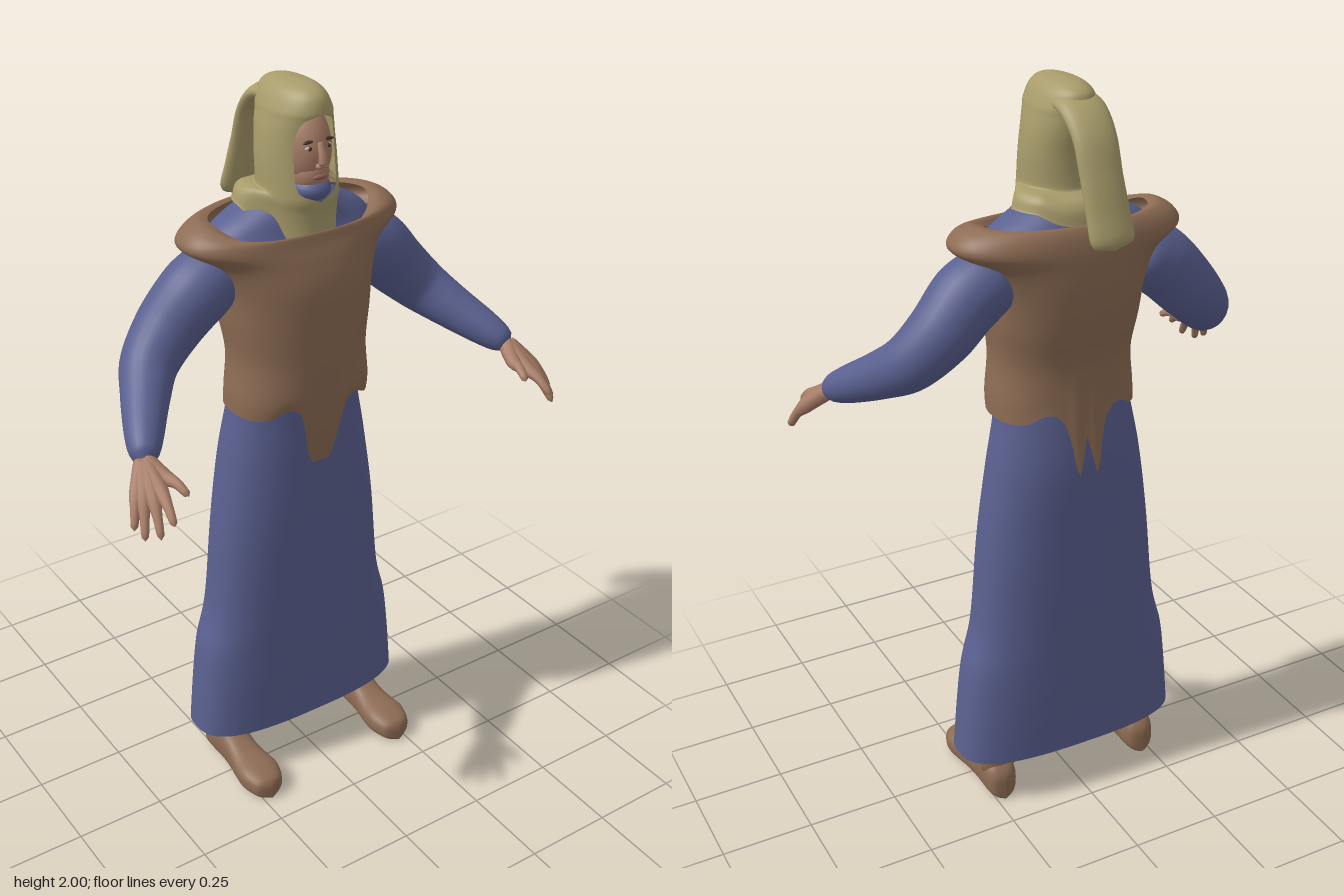
import * as THREE from 'three';

const mat = (name, color, side = THREE.FrontSide) => {
  const m = new THREE.MeshStandardMaterial({ color, side });
  m.name = name;
  return m;
};
const BLUE = mat('blue cloth', 0x5a6090, THREE.DoubleSide);
const BROWN = mat('brown leather', 0x8d6c54, THREE.DoubleSide);
const TAN = mat('tan hood cloth', 0xa89c6b, THREE.DoubleSide);
const SKIN = mat('skin', 0xa87d67);
const DARK = mat('dark brown', 0x40302a);
const WHITE = mat('eye white', 0xb5a99c);
const LIP = mat('lips', 0x8e5f52);

// Smooth grid of points; u wraps round when closed.
function surface(fn, nu, nv, closed = true) {
  const cols = closed ? nu : nu + 1, pos = [], idx = [];
  for (let j = 0; j <= nv; j++)
    for (let i = 0; i < cols; i++) pos.push(...fn(i / nu, j / nv));
  for (let j = 0; j < nv; j++)
    for (let i = 0; i < nu; i++) {
      const k = (i + 1) % cols, a = j * cols + i, b = j * cols + k;
      idx.push(a, b, b + cols, a, b + cols, a + cols);
    }
  const g = new THREE.BufferGeometry();
  g.setAttribute('position', new THREE.Float32BufferAttribute(pos, 3));
  g.setIndex(idx);
  g.computeVertexNormals();
  return g;
}

// Spline through the rows of a profile table.
function sample(rows, t) {
  const n = rows.length - 1, i = Math.min(Math.floor(t * n), n - 1), f = t * n - i;
  const row = k => rows[Math.max(0, Math.min(n, k))];
  return rows[0].map((_, c) => {
    const a = row(i - 1)[c], b = row(i)[c], d = row(i + 1)[c], e = row(i + 2)[c];
    return b + 0.5 * f * (d - a + f * (2 * a - 5 * b + 4 * d - e + f * (3 * (b - d) + e - a)));
  });
}
const spow = (v, e) => Math.sign(v) * Math.abs(v) ** e;
const smooth = THREE.MathUtils.smoothstep;

// Horizontal section point; angle 0 is the front.
function ringPoint(a, y, hw, zf, zb, e) {
  return [hw * spow(Math.sin(a), e), y, (zf + zb) / 2 + (zf - zb) / 2 * spow(Math.cos(a), e)];
}

// Tapered round-ended limb through [x, y, z, radius]; k flattens it.
function limb(pts, k = 1, nu = 16, nv = 28) {
  const curve = new THREE.CatmullRomCurve3(pts.map(p => new THREE.Vector3(p[0], p[1], p[2])));
  const { normals, binormals } = curve.computeFrenetFrames(nv);
  return surface((u, v) => {
    const j = Math.round(v * nv), a = u * Math.PI * 2;
    const s = curve.getUtoTmapping(v) * (pts.length - 1);
    const i = Math.min(Math.floor(s), pts.length - 2);
    const r = THREE.MathUtils.lerp(pts[i][3], pts[i + 1][3], s - i) *
      Math.sqrt(Math.max(0, 1 - Math.abs(2 * v - 1) ** 18));
    return curve.getPointAt(v).addScaledVector(normals[j], r * Math.cos(a))
      .addScaledVector(binormals[j], r * k * Math.sin(a)).toArray();
  }, nu, nv);
}

export function createModel() {
  const root = new THREE.Group();
  root.name = 'robedMan';
  const add = (name, geo, material, parent = root) => {
    const m = new THREE.Mesh(geo, material);
    m.name = name;
    parent.add(m);
    return m;
  };
  const ball = (name, x, y, z, rx, ry, rz, material, parent = root) => {
    const m = add(name, new THREE.SphereGeometry(1, 24, 18), material, parent);
    m.position.set(x, y, z);
    m.scale.set(rx, ry, rz);
    return m;
  };

  // Robe, open at the foot: y, half width, front z, back z, roundness
  const robe = [
    [0.145, 0.33, 0.055, -0.2, 0.72], [0.3, 0.315, 0.055, -0.2, 0.72], [0.42, 0.3, 0.053, -0.198, 0.74],
    [0.55, 0.268, 0.055, -0.197, 0.76], [0.8, 0.243, 0.058, -0.197, 0.8], [1.0, 0.215, 0.055, -0.197, 0.85],
    [1.15, 0.188, 0.055, -0.185, 0.9], [1.3, 0.172, 0.07, -0.17, 0.9], [1.48, 0.19, 0.07, -0.195, 0.9],
    [1.59, 0.23, 0.045, -0.2, 0.9], [1.64, 0.22, 0.025, -0.195, 0.95], [1.69, 0.14, 0.015, -0.175, 1],
    [1.72, 0.08, 0.005, -0.15, 1], [1.76, 0.06, 0, -0.13, 1],
  ];
  add('robe', surface((u, v) => ringPoint(u * Math.PI * 2, ...sample(robe, v)), 64, 90), BLUE);

  // Vest with shoulder caps, a dipped neck, a front tab and two back tails
  const vest = [
    [1.15, 0.197, 0.092, -0.195, 0.85], [1.2, 0.196, 0.1, -0.193, 0.85], [1.3, 0.187, 0.1, -0.195, 0.85],
    [1.4, 0.2, 0.102, -0.215, 0.85], [1.5, 0.213, 0.1, -0.228, 0.85], [1.57, 0.245, 0.085, -0.229, 0.85],
    [1.615, 0.308, 0.07, -0.226, 0.85], [1.65, 0.295, 0.062, -0.218, 0.88], [1.672, 0.255, 0.055, -0.205, 0.92],
    [1.668, 0.225, 0.045, -0.192, 0.95],
  ];
  add('vest', surface((u, v) => {
    const a = u * Math.PI * 2, p = ringPoint(a, ...sample(vest, v)), x = Math.abs(p[0]), c = Math.cos(a);
    const rise = 0.03 * Math.exp(-(((x - 0.1) / 0.04) ** 2));
    const drop = c > 0 ? 0.15 * (1 - smooth(x, 0.025, 0.075))
      : 0.12 * Math.exp(-(((x - 0.026) / 0.017) ** 2)) + 0.03 * (1 - smooth(x, 0.03, 0.08));
    const low = Math.max(0, 1 - v / 0.22);
    p[1] += (rise - drop) * low;
    p[1] -= 0.065 * smooth(v, 0.72, 1) * Math.max(0, c) ** 1.5;
    p[2] -= Math.sign(c) * (c > 0 ? 0.15 : -0.12) * drop * low;
    return p;
  }, 144, 60), BROWN);

  // Arms, hands and shoes, mirrored
  const fingers = {
    indexFinger: [[0.562, 1.178, 0.232], [0.575, 1.13, 0.315]],
    middleFinger: [[0.582, 1.168, 0.228], [0.602, 1.093, 0.296]],
    ringFinger: [[0.598, 1.164, 0.212], [0.629, 1.083, 0.266]],
    littleFinger: [[0.608, 1.166, 0.194], [0.641, 1.1, 0.236]],
    thumb: [[0.534, 1.195, 0.205], [0.515, 1.175, 0.28]],
  };
  const shoe = [
    [-0.157, 0.0, 0.06], [-0.148, 0.032, 0.085], [-0.12, 0.045, 0.11], [-0.06, 0.046, 0.125], [0, 0.047, 0.095],
    [0.05, 0.055, 0.08], [0.1, 0.06, 0.076], [0.145, 0.046, 0.064], [0.16, 0.026, 0.052], [0.167, 0.0, 0.035],
  ];
  for (const s of [1, -1]) {
    const side = s > 0 ? 'left' : 'right';
    const flip = pts => pts.map(([x, ...rest]) => [x * s, ...rest]);
    add(side + 'Sleeve', limb(flip([
      [0.17, 1.56, -0.09, 0.085], [0.27, 1.5, -0.085, 0.093], [0.35, 1.42, -0.09, 0.085],
      [0.42, 1.35, -0.065, 0.074], [0.47, 1.302, 0.0, 0.062], [0.52, 1.257, 0.08, 0.05], [0.562, 1.218, 0.155, 0.036],
    ]), 1, 24, 40), BLUE);

    const hand = new THREE.Group();
    hand.name = side + 'Hand';
    root.add(hand);
    for (const [name, [k, t]] of Object.entries(fingers)) {
      const mid = k.map((c, i) => (c + t[i]) / 2);
      mid[1] += 0.008;
      add(name, limb(flip([
        [0.558, 1.224, 0.14, 0.023], [...k, 0.019], [...mid, 0.0125], [...t, 0.009],
      ]), 1, 10, 20), SKIN, hand);
    }

    add(side + 'Shoe', surface((u, v) => {
      const [z, hw, h] = sample(shoe, v), a = u * Math.PI * 2;
      return [s * 0.225 + hw * spow(Math.cos(a), 0.8), h / 2 * (1 + spow(Math.sin(a), 0.7)), z];
    }, 28, 36), BROWN);
    add(side + 'Leg', limb([
      [s * 0.222, 0.05, -0.1, 0.052], [s * 0.222, 0.15, -0.095, 0.055], [s * 0.21, 0.5, -0.08, 0.07],
    ], 0.68), BROWN);
  }

  // Head and face
  const head = new THREE.Group();
  head.name = 'head';
  root.add(head);
  ball('face', 0, 1.84, -0.03, 0.071, 0.115, 0.097, SKIN, head);
  ball('jaw', 0, 1.785, 0.012, 0.05, 0.055, 0.052, SKIN, head);
  ball('chinBeard', 0, 1.747, 0.018, 0.051, 0.034, 0.053, BLUE, head);
  add('nose', limb([[0, 1.872, 0.058, 0.008], [0, 1.84, 0.073, 0.011], [0, 1.815, 0.078, 0.014]], 0.8, 12, 14), SKIN, head);
  ball('lips', 0, 1.784, 0.062, 0.02, 0.007, 0.007, LIP, head);
  for (const s of [1, -1]) {
    ball('eye', s * 0.027, 1.857, 0.054, 0.012, 0.006, 0.006, WHITE, head);
    ball('iris', s * 0.027, 1.857, 0.058, 0.005, 0.005, 0.004, DARK, head);
    ball('eyebrow', s * 0.028, 1.873, 0.054, 0.016, 0.004, 0.006, DARK, head).rotation.z = -s * 0.1;
    ball('nostril', s * 0.01, 1.814, 0.07, 0.007, 0.007, 0.009, SKIN, head);
  }

  // Hood: y, half width, front z, back z, half angle of the face opening
  const hood = [
    [1.6, 0.103, 0.06, -0.2, 0], [1.65, 0.105, 0.058, -0.195, 0], [1.69, 0.105, 0.06, -0.18, 0],
    [1.72, 0.102, 0.066, -0.155, 0], [1.75, 0.1, 0.064, -0.145, 0.55], [1.82, 0.099, 0.055, -0.148, 0.62],
    [1.88, 0.092, 0.055, -0.158, 0.62], [1.92, 0.083, 0.062, -0.165, 0.48], [1.942, 0.077, 0.066, -0.17, 0],
    [1.975, 0.06, 0.055, -0.165, 0], [1.994, 0.036, 0.025, -0.13, 0], [2.0, 0.0, -0.03, -0.07, 0],
  ];
  add('hood', surface((u, v) => {
    const [y, hw, zf, zb, open] = sample(hood, v), o = Math.max(0, open);
    const a = o + u * 2 * (Math.PI - o), low = Math.max(0, 1 - v / 0.36);
    const p = ringPoint(a, y, Math.max(0, hw), zf, zb, 0.95), back = smooth(-Math.cos(a), -0.55, 0.1);
    p[0] *= 1 + 0.45 * back * low;
    p[1] += (0.1 * back - 0.03 * smooth(-Math.cos(a), 0.6, 1) + 0.02 * (1 - back) * Math.abs(Math.sin(a))) * low;
    return p;
  }, 72, 66, false), TAN);

  // Long flat point of the hood hanging behind
  add('hoodTail', limb([
    [0, 1.95, -0.06, 0.06], [0, 1.945, -0.15, 0.062], [0, 1.895, -0.212, 0.058],
    [0, 1.8, -0.253, 0.056], [-0.005, 1.71, -0.28, 0.058], [-0.01, 1.635, -0.302, 0.064],
  ], 0.42, 24, 36), TAN);

  return root;
}
